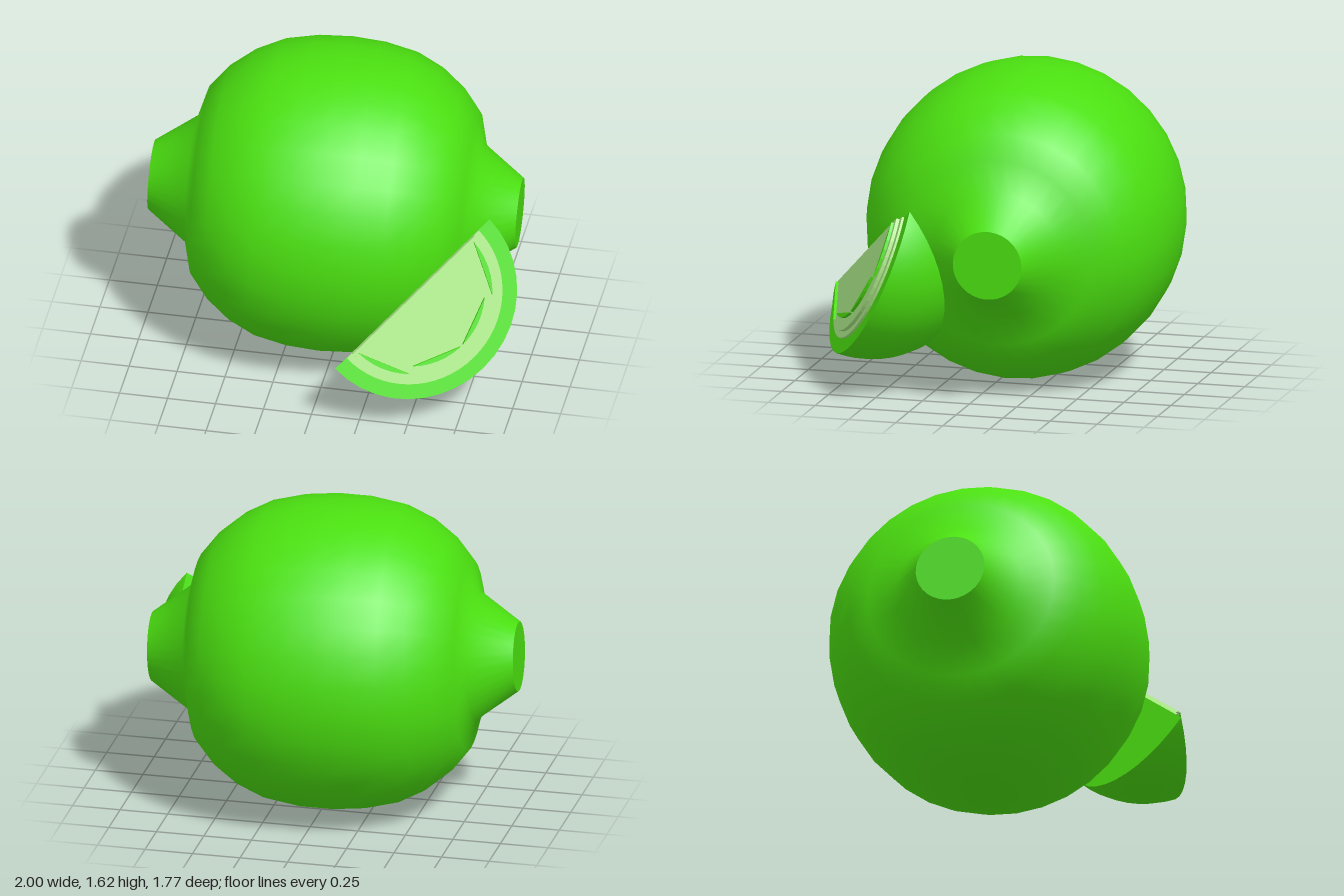
import * as THREE from 'three';

const V = (x, y, z) => new THREE.Vector3(x, y, z);
const green = new THREE.MeshStandardMaterial({ color: 0x4be010, side: THREE.DoubleSide });
const pale = new THREE.MeshStandardMaterial({ color: 0xaae886, side: THREE.DoubleSide });

function add(parent, name, geometry, material = green) {
  const mesh = new THREE.Mesh(geometry, material);
  mesh.name = name;
  parent.add(mesh);
  return mesh;
}

// Whole fruit: a smooth lathe with a blunt nub at each end, lying along x
function makeFruit() {
  const fruit = new THREE.Group();
  fruit.name = 'wholeFruit';
  const half = [[0, 0.81], [0.17, 0.8], [0.34, 0.765], [0.477, 0.7], [0.6, 0.605],
    [0.695, 0.49], [0.74, 0.33], [0.95, 0.18]];
  const profile = [
    ...half.slice(1).reverse().map(([t, r]) => new THREE.Vector2(r, -t)),
    ...half.map(([t, r]) => new THREE.Vector2(r, t)),
  ];
  add(fruit, 'peel', new THREE.LatheGeometry(profile, 32));
  for (const s of [-1, 1]) {
    const cap = add(fruit, s > 0 ? 'leftEndCap' : 'rightEndCap', new THREE.CircleGeometry(0.18, 32));
    cap.rotation.x = -s * Math.PI / 2;
    cap.position.y = 0.95 * s;
  }
  fruit.quaternion.setFromUnitVectors(V(0, 1, 0), V(1.89, -0.07, -0.12).normalize());
  fruit.position.set(-0.035, 0.815, -0.08);
  return fruit;
}

// Half disc below the x axis, extruded towards +z
function halfDisc(radius, depth) {
  const shape = new THREE.Shape();
  shape.absarc(0, 0, radius, Math.PI, 2 * Math.PI, false);
  shape.closePath();
  return new THREE.ExtrudeGeometry(shape, { depth, bevelEnabled: false, curveSegments: 16 });
}

// Pulp segment: a pie piece whose inner tip rises above the pith
function pulpSegment(from, to, tip, radius) {
  const shape = new THREE.Shape();
  shape.moveTo(tip.x, tip.y);
  shape.absarc(0, 0, radius, from, to, false);
  shape.closePath();
  const g = new THREE.ExtrudeGeometry(shape, { depth: 1, bevelEnabled: false, curveSegments: 3 });
  const p = g.attributes.position;
  for (let i = 0; i < p.count; i++) {
    const isTip = Math.hypot(p.getX(i) - tip.x, p.getY(i) - tip.y) < 1e-4;
    p.setZ(i, p.getZ(i) > 0.5 ? (isTip ? 0.12 : 0.045) : 0.02);
  }
  g.computeVertexNormals();
  return g;
}

// Cut wedge: local x runs along the straight edge, z out of the cut face
function makeWedge() {
  const wedge = new THREE.Group();
  wedge.name = 'cutWedge';
  const R = 0.55, angle = THREE.MathUtils.degToRad(50);
  const rind = new THREE.SphereGeometry(R, 8, 20, Math.PI, angle).rotateZ(-Math.PI / 2);
  add(wedge, 'wedgeRind', rind);
  add(wedge, 'wedgeFrontFace', new THREE.CircleGeometry(R, 20, Math.PI, Math.PI));
  add(wedge, 'wedgeBackFace', new THREE.CircleGeometry(R, 20, Math.PI, Math.PI).rotateX(angle));
  add(wedge, 'pithRing', halfDisc(0.47, 0.012), pale);
  add(wedge, 'pithPlate', halfDisc(0.435, 0.03), pale);

  // Four pulp segments, mirrored in pairs
  const deg = Math.PI / 180;
  const tips = [[-0.15, -0.045], [-0.05, -0.07], [0.05, -0.07], [0.1, -0.05]];
  tips.forEach(([x, y], i) => {
    const from = (182 + i * 44.5) * deg;
    add(wedge, 'pulpSegment' + (i + 1),
      pulpSegment(from, from + 42 * deg, new THREE.Vector2(x, y), i % 3 ? 0.37 : 0.41));
  });

  const along = V(0.626, 0.563, -0.54).normalize();
  const out = V(0.392, 0.371, 0.842);
  out.addScaledVector(along, -out.dot(along)).normalize();
  const up = new THREE.Vector3().crossVectors(out, along);
  wedge.quaternion.setFromRotationMatrix(new THREE.Matrix4().makeBasis(along, up, out));
  wedge.position.set(0.495, 0.71, 0.59);
  return wedge;
}

export function createModel() {
  const model = new THREE.Group();
  model.name = 'citrusFruit';
  model.add(makeFruit(), makeWedge());
  return model;
}
